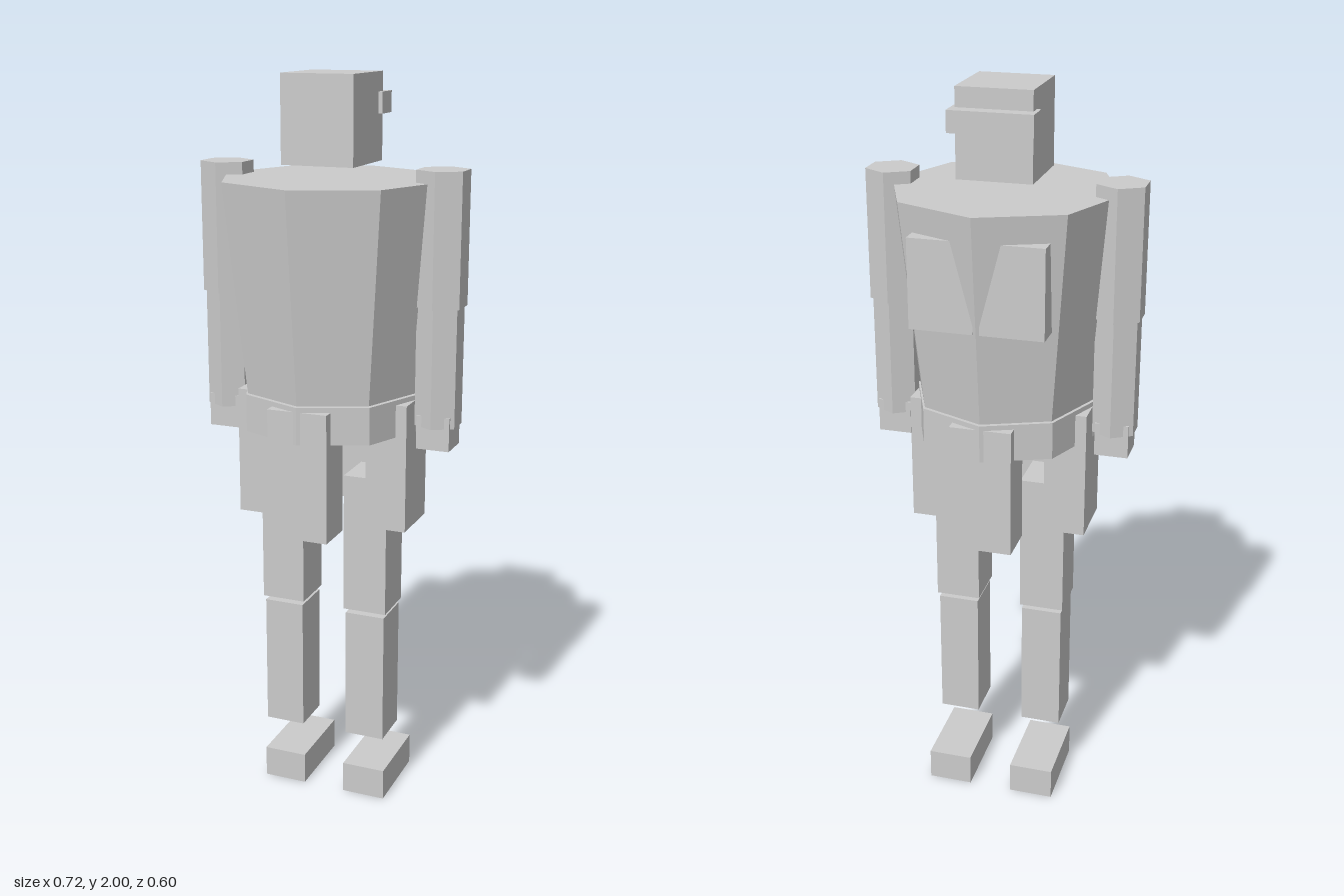
import * as THREE from 'three';

const material = new THREE.MeshStandardMaterial({ color: 0xcccccc, flatShading: true });

export function createModel() {
  const model = new THREE.Group();
  model.name = 'blockFigure';

  const add = (name, geometry, x, y, z) => {
    const mesh = new THREE.Mesh(geometry, material);
    mesh.name = name;
    mesh.position.set(x, y, z);
    model.add(mesh);
  };

  // Box and prism placed by their bottom and top heights
  const box = (name, w, d, y0, y1, x = 0, z = 0) =>
    add(name, new THREE.BoxGeometry(w, y1 - y0, d), x, (y0 + y1) / 2, z);
  const prism = (name, sides, rTop, rBottom, y0, y1, x = 0, z = 0) =>
    add(name, new THREE.CylinderGeometry(rTop, rBottom, y1 - y0, sides), x, (y0 + y1) / 2, z);

  // Head and visor
  box('head', 0.196, 0.206, 1.775, 2);
  box('visor', 0.218, 0.068, 1.895, 1.95, 0, -0.106);

  // Tapered eight-sided torso and belt
  prism('torso', 8, 0.3, 0.24, 1.188, 1.738);
  prism('belt', 8, 0.245, 0.245, 1.085, 1.185);

  // Four skirt plates around the hips
  for (const s of [1, -1]) {
    box('sideSkirtPlate', 0.112, 0.164, 0.825, 1.172, s * 0.185, 0);
    box(s > 0 ? 'rearSkirtPlate' : 'frontSkirtPlate', 0.164, 0.112, 0.825, 1.172, 0, s * 0.185);
  }

  // Mirrored chest plates, arms and legs
  for (const s of [1, -1]) {
    const side = s > 0 ? 'left' : 'right';
    box(side + 'ChestPlate', 0.165, 0.08, 1.436, 1.668, s * 0.0905, -0.226);

    prism(side + 'UpperArm', 6, 0.07, 0.07, 1.425, 1.77, s * 0.3);
    prism(side + 'Forearm', 6, 0.063, 0.063, 1.11, 1.425, s * 0.3);
    box(side + 'Hand', 0.09, 0.09, 1.05, 1.14, s * 0.3);

    box(side + 'Thigh', 0.122, 0.13, 0.57, 0.957, s * 0.121);
    box(side + 'Shin', 0.112, 0.122, 0.187, 0.557, s * 0.121);
    box(side + 'Foot', 0.122, 0.228, 0, 0.088, s * 0.121, -0.05);
  }

  return model;
}
